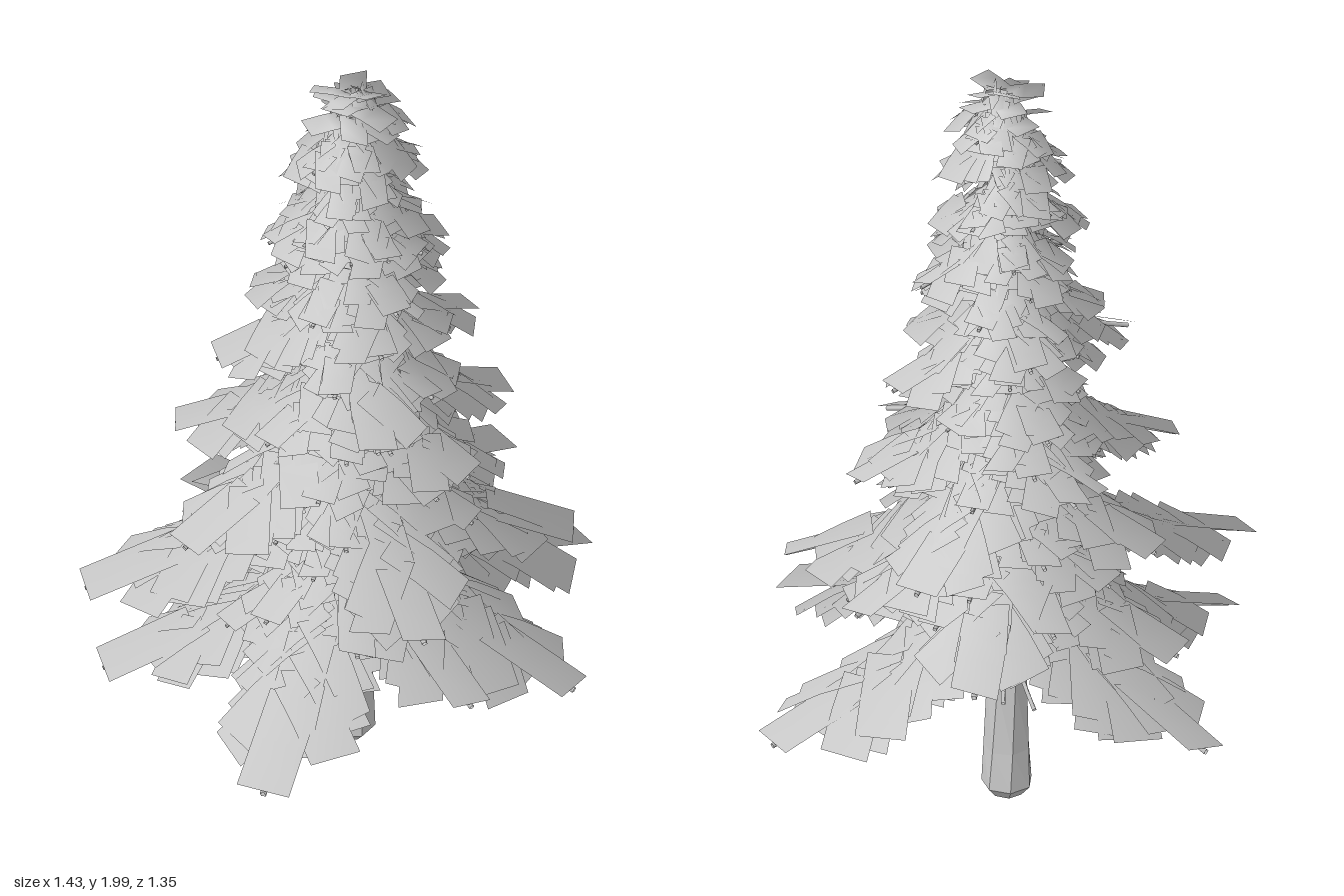
import * as THREE from 'three';

const AX = -0.015, AZ = 0.05; // trunk axis
const UP = new THREE.Vector3(0, 1, 0);
const grey = new THREE.MeshStandardMaterial({ color: 0xcccccc, side: THREE.DoubleSide });
grey.name = 'plain grey';

let seed = 7;
function rand(a = 0, b = 1) {
  seed = (seed * 16807) % 2147483647;
  return a + (b - a) * (seed / 2147483647);
}

// One needle card: a rectangle of two bent quads that starts at p and runs along dir
function addCard(out, p, dir, length, width, droop) {
  const side = new THREE.Vector3().crossVectors(UP, dir).normalize();
  side.y += rand(-0.3, 0.3);
  side.normalize().multiplyScalar(width / 2);
  const rows = [0, 0.5, 1].map((u) => {
    const c = p.clone().addScaledVector(dir, length * u);
    c.y -= droop * length * u * u;
    return [c.clone().add(side), c.clone().sub(side)];
  });
  for (let i = 0; i < 2; i++) {
    const [r0, l0] = rows[i], [r1, l1] = rows[i + 1];
    out.push(r0, l0, r1, l0, l1, r1);
  }
}

// Foliage normals point out from the axis and up, so the cards shade as one soft cone
function foliageMesh(points, name) {
  const geo = new THREE.BufferGeometry().setFromPoints(points);
  const normals = points.map((p) => {
    const n = new THREE.Vector3(p.x - AX, 0, p.z - AZ).normalize();
    n.y = 0.55;
    return n.normalize();
  });
  geo.setAttribute('normal', new THREE.Float32BufferAttribute(normals.flatMap((n) => [n.x, n.y, n.z]), 3));
  const mesh = new THREE.Mesh(geo, grey);
  mesh.name = name;
  return mesh;
}

function twigMesh(curve, radius, name) {
  const mesh = new THREE.Mesh(new THREE.TubeGeometry(curve, 6, radius, 4), grey);
  mesh.name = name;
  return mesh;
}

// Drooping branch: steep by the trunk, flatter towards the tip, cards fanned both ways
function makeBranch(x, y, z) {
  const group = new THREE.Group();
  group.name = 'branch';
  const out = new THREE.Vector3(x - AX, 0, z - AZ);
  const len = out.length();
  out.normalize();
  const at = (r, h) => new THREE.Vector3(AX, y + h, AZ).addScaledVector(out, r);
  const rise = 0.45 * len + 0.03;
  const curve = new THREE.QuadraticBezierCurve3(at(0.02, rise), at(0.35 * len, 0.27 * rise), at(len, 0));
  const cardLen = 0.06 + 0.22 * len, width = 0.055 + 0.1 * len;
  const points = [];
  const count = Math.round(len / 0.075) + 2;
  for (let i = 0; i < count; i++) {
    const t = 0.1 + (0.57 * i) / (count - 1);
    const p = curve.getPoint(t), tangent = curve.getTangent(t);
    for (const turn of [-1, 0, 1]) {
      const dir = tangent.clone();
      dir.y *= turn ? 0.8 : 1;
      dir.applyAxisAngle(UP, turn * (1 - 0.45 * t) + rand(-0.12, 0.12)).normalize();
      const start = p.clone();
      start.y += rand(-0.018, 0.015);
      const l = cardLen * (turn ? 1.1 - 0.2 * t : 0.8) * rand(0.85, 1.1);
      addCard(points, start, dir, l, width * rand(0.85, 1.05), turn ? 0.15 : 0.05);
    }
  }
  // Narrow card at the very tip
  const from = curve.getPoint(0.7), last = curve.getPoint(1).sub(from);
  addCard(points, from, last.clone().normalize(), last.length(), width, 0);
  group.add(foliageMesh(points, 'needles'));
  const twig = twigMesh(curve, 0.004 + 0.006 * len, 'twig');
  twig.position.y = -0.012;
  group.add(twig);
  return group;
}

export function createModel() {
  const tree = new THREE.Group();
  tree.name = 'firTree';

  // Trunk: faceted, flared at the foot, slightly twisted
  const profile = [[0, 0], [0.045, 0.005], [0.07, 0.035], [0.064, 0.15], [0.055, 0.35],
    [0.046, 0.6], [0.032, 1.1], [0.018, 1.6], [0.006, 1.94], [0, 1.95]];
  const trunkGeo = new THREE.LatheGeometry(profile.map(([r, y]) => new THREE.Vector2(r, y)), 7).toNonIndexed();
  const pos = trunkGeo.attributes.position, v = new THREE.Vector3();
  for (let i = 0; i < pos.count; i++) {
    v.fromBufferAttribute(pos, i);
    v.applyAxisAngle(UP, 0.9 * v.y);
    pos.setXYZ(i, v.x, v.y, v.z);
  }
  trunkGeo.computeVertexNormals();
  const trunk = new THREE.Mesh(trunkGeo, grey);
  trunk.name = 'trunk';
  trunk.position.set(AX, 0, AZ);
  tree.add(trunk);

  // Long branches, by tip position
  const longBranches = [
    [0.71, 0.41, -0.01], [-0.69, 0.43, -0.01], [-0.71, 0.67, -0.05], [-0.15, 0.46, -0.67],
    [-0.52, 0.46, 0.63], [0.33, 0.49, 0.64], [0.48, 0.74, 0.34], [0.37, 0.65, -0.43],
    [-0.09, 0.78, 0.63], [0.05, 0.52, 0.62], [-0.22, 0.6, -0.44], [0.43, 0.87, -0.26],
    [0.5, 0.75, -0.08], [-0.54, 0.93, 0.22], [-0.2, 0.86, -0.36], [0.42, 1.04, 0.06],
    [-0.42, 1.05, -0.12], [0.02, 1.03, -0.33], [0.14, 1.05, 0.4], [-0.12, 1.22, 0.43],
    [0.33, 1.28, 0.02], [-0.36, 1.31, 0.02], [0.08, 1.36, -0.22], [0.24, 1.53, 0.03],
    [-0.23, 1.62, 0.05], [-0.22, 1.43, -0.08], [-0.05, 1.39, 0.3], [0.4, 0.66, 0.16],
  ];
  for (const tip of longBranches) tree.add(makeBranch(...tip));

  // Shorter whorls that fill the cone
  let tier = 0;
  for (let y = 0.56; y < 1.9; y += 0.1, tier++) {
    const reach = 0.36 * Math.pow(1 - (y - 0.5) / 1.5, 0.9) + 0.085;
    for (let k = 0; k < 6; k++) {
      const a = (k / 6) * Math.PI * 2 + tier * 0.62 + rand(-0.2, 0.2);
      const r = reach * rand(0.7, 1.05);
      tree.add(makeBranch(AX + Math.cos(a) * r, y + rand(-0.05, 0.05), AZ + Math.sin(a) * r));
    }
  }

  // Crown: ragged stars of cards at the top
  const crown = [];
  for (const [y, slope, length] of [[1.9, -0.1, 0.13], [1.935, 0.2, 0.12], [1.96, 0.3, 0.1]]) {
    for (let k = 0; k < 5; k++) {
      const a = (k / 5) * Math.PI * 2 + y * 9 + rand(-0.2, 0.2);
      const dir = new THREE.Vector3(Math.cos(a), slope + rand(-0.25, 0.25), Math.sin(a)).normalize();
      addCard(crown, new THREE.Vector3(AX, y, AZ + 0.01), dir, length * rand(0.8, 1), 0.065, 0.1);
    }
  }
  tree.add(foliageMesh(crown, 'crown'));

  // Bare twigs below the foliage
  for (const [x, y, z] of [[-0.2, 0.4, 0.02], [0.04, 0.41, 0.3], [0.03, 0.37, -0.16], [0.1, 0.39, -0.12]]) {
    const curve = new THREE.QuadraticBezierCurve3(new THREE.Vector3(AX, 0.5, AZ),
      new THREE.Vector3(x * 0.5, 0.43, (z + AZ) / 2), new THREE.Vector3(x, y, z));
    tree.add(twigMesh(curve, 0.006, 'bareTwig'));
  }
  return tree;
}
